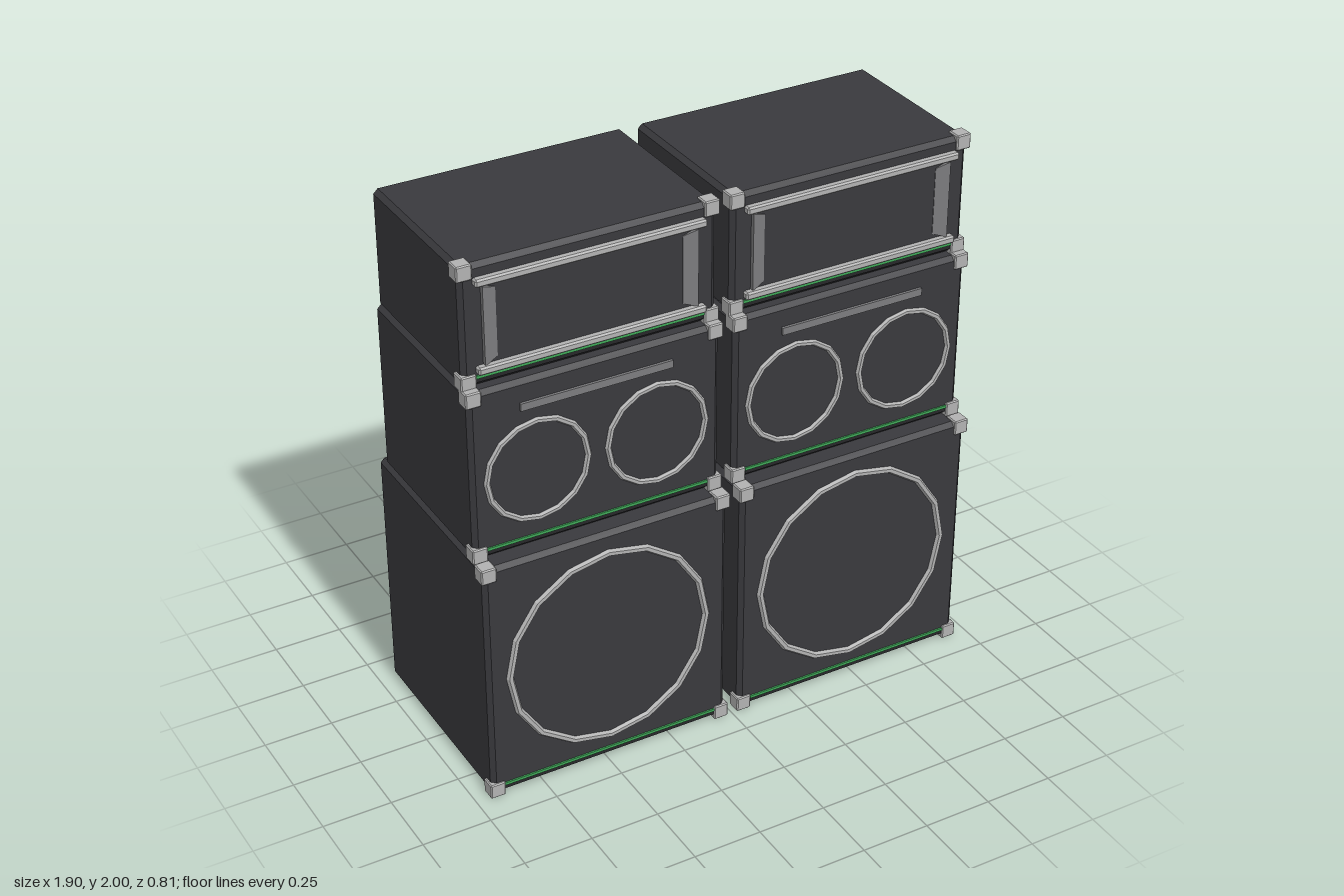
import * as THREE from 'three';
import { ConvexGeometry } from 'three/addons/geometries/ConvexGeometry.js';

const mat = (name, color) => {
  const m = new THREE.MeshStandardMaterial({ color });
  m.name = name;
  return m;
};
const cabinetMat = mat('charcoal', 0x39393d);
const darkMat = mat('black', 0x262629);
const metalMat = mat('light metal', 0xb2b2b2);
const greyMat = mat('grey', 0x7c7c7e);
const greenMat = mat('green', 0x3fa858);

function add(parent, name, geometry, material, x = 0, y = 0, z = 0) {
  const m = new THREE.Mesh(geometry, material);
  m.name = name;
  m.position.set(x, y, z);
  parent.add(m);
  return m;
}

// Box with flat chamfers on every edge
function chamferBox(w, h, d, c) {
  const pts = [];
  for (const sx of [-1, 1]) for (const sy of [-1, 1]) for (const sz of [-1, 1]) {
    const x = w / 2, y = h / 2, z = d / 2;
    pts.push(
      new THREE.Vector3(sx * x, sy * (y - c), sz * (z - c)),
      new THREE.Vector3(sx * (x - c), sy * y, sz * (z - c)),
      new THREE.Vector3(sx * (x - c), sy * (y - c), sz * z));
  }
  return new ConvexGeometry(pts);
}

function ring(radius, tube) {
  const g = new THREE.TorusGeometry(radius, tube, 6, 16).toNonIndexed();
  g.computeVertexNormals();
  return g;
}

// Cabinet with front corner guards, a green strip and a dark groove
function cabinet(parent, name, y0, y1, zBack, zFront) {
  const g = new THREE.Group();
  g.name = name;
  parent.add(g);
  add(g, 'cabinetBody', chamferBox(0.912, y1 - y0, zFront - zBack, 0.016), cabinetMat,
    0, (y0 + y1) / 2, (zFront + zBack) / 2);
  for (const sx of [-1, 1]) for (const y of [y0 + 0.021, y1 - 0.021])
    add(g, 'cornerGuard', chamferBox(0.055, 0.055, 0.055, 0.004), metalMat, sx * 0.4375, y, zFront - 0.0195);
  add(g, 'greenStrip', new THREE.BoxGeometry(0.82, 0.01, 0.008), greenMat, 0, y0 + 0.036, zFront + 0.002);
  add(g, 'bottomGroove', new THREE.BoxGeometry(0.82, 0.014, 0.004), darkMat, 0, y0 + 0.023, zFront);
  return g;
}

// Slanted side flare of the horn, deeper towards the middle
function flare() {
  const pts = [];
  for (const s of [-1, 1]) pts.push(
    new THREE.Vector3(0.382, s * 0.14, 0.016),
    new THREE.Vector3(0.382, s * 0.14, -0.005),
    new THREE.Vector3(0.332, s * 0.122, 0.002),
    new THREE.Vector3(0.332, s * 0.122, -0.005));
  return new ConvexGeometry(pts);
}

function speakerStack() {
  const stack = new THREE.Group();
  stack.name = 'speakerStack';

  // Bass cabinet
  const bass = cabinet(stack, 'bassCabinet', 0.008, 0.927, -0.405, 0.397);
  add(bass, 'wooferRing', ring(0.375, 0.013), metalMat, 0, 0.474, 0.397).rotation.z = 0;

  // Middle cabinet
  const mid = cabinet(stack, 'midCabinet', 0.931, 1.557, -0.347, 0.339);
  for (const s of [-1, 1])
    add(mid, 'midRing', ring(0.183, 0.011), metalMat, s * 0.219, 1.216, 0.341);
  add(mid, 'portBar', new THREE.BoxGeometry(0.552, 0.027, 0.02), greyMat, 0, 1.464, 0.339);

  // Horn cabinet
  const top = cabinet(stack, 'hornCabinet', 1.561, 1.992, -0.317, 0.311);
  for (const y of [1.934, 1.624])
    add(top, 'hornRail', chamferBox(0.82, 0.028, 0.03, 0.006), metalMat, 0, y, 0.323);
  for (const s of [0, Math.PI])
    add(top, 'hornFlare', flareFor(s), greyMat, 0, 1.775, 0.311);
  return stack;
}

// Mirrored copy of the flare for the other side
function flareFor(angle) {
  const g = flare();
  if (!angle) return g;
  const p = g.attributes.position, pts = [];
  for (let i = 0; i < p.count; i++) pts.push(new THREE.Vector3(-p.getX(i), p.getY(i), p.getZ(i)));
  return new ConvexGeometry(pts);
}

export function createModel() {
  const model = new THREE.Group();
  model.name = 'speakerStacks';
  for (const s of [-1, 1]) {
    const stack = speakerStack();
    stack.position.x = s * 0.484;
    model.add(stack);
  }
  return model;
}
